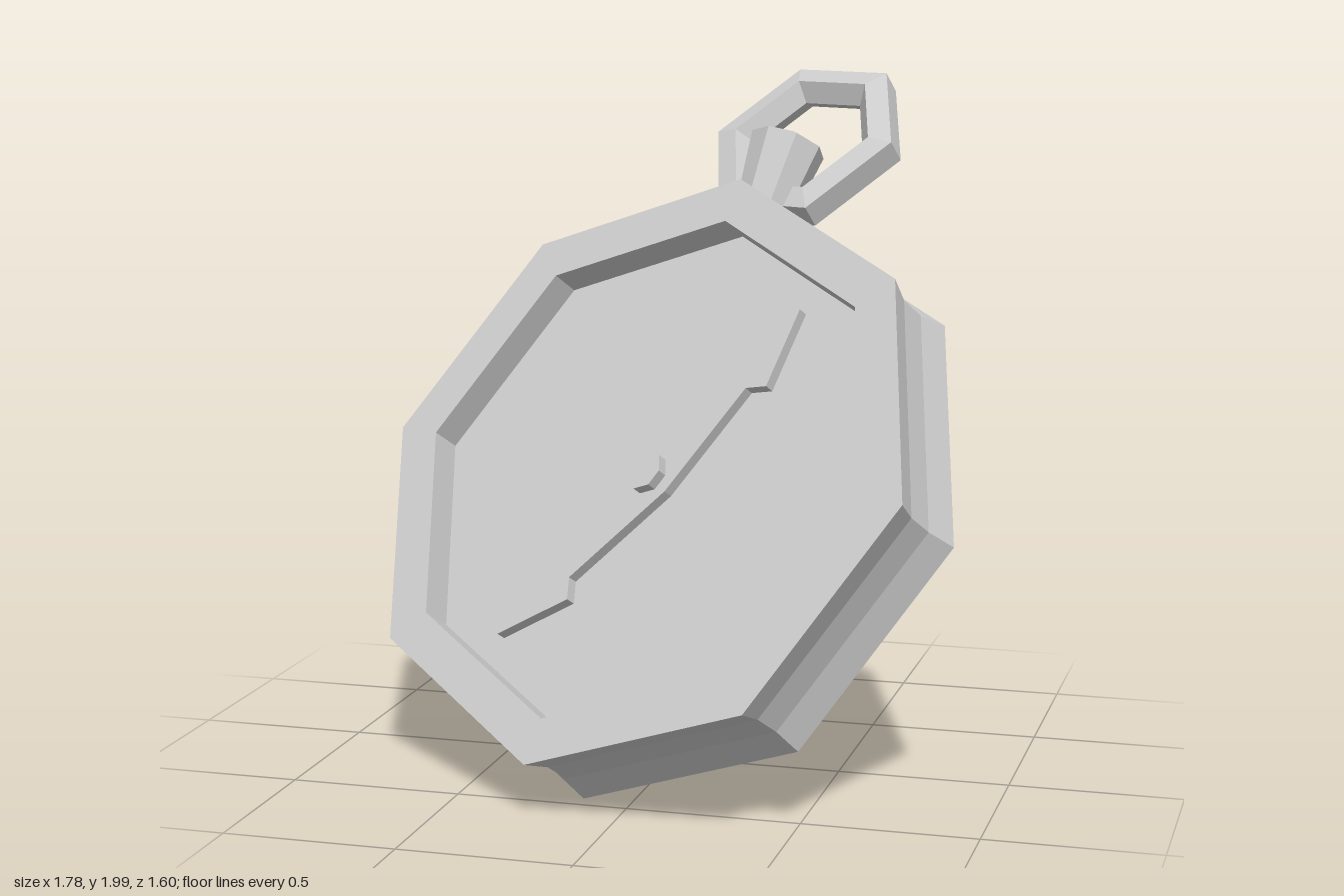
import * as THREE from 'three';

const material = new THREE.MeshStandardMaterial({ color: 0xcccccc, flatShading: true });

// Faceted turned part, with a profile of [radius, height] pairs
function turned(name, profile, sides, phase = 0) {
  const points = profile.map(([r, h]) => new THREE.Vector2(r, h));
  const mesh = new THREE.Mesh(new THREE.LatheGeometry(points, sides, phase), material);
  mesh.name = name;
  return mesh;
}

export function createModel() {
  const model = new THREE.Group();
  model.name = 'compass';

  // Octagonal case: flat back, grooved side, raised rim and sunken dial
  const body = turned('case', [
    [0, -0.3], [0.913, -0.3], [0.886, -0.2], [0.886, -0.1], [0.913, 0],
    [0.776, 0], [0.776, -0.1], [0, -0.1],
  ], 8);
  body.rotation.x = Math.PI / 2;
  model.add(body);

  // Double-headed needle lying on the dial
  const quarter = [[0, 0.637], [0.104, 0.415], [0.053, 0.37], [0.095, 0]];
  const half = [...quarter, ...quarter.slice(1, 3).reverse().map(([x, y]) => [x, -y])];
  const outline = [...half, ...half.map(([x, y]) => [-x, -y])];
  const shape = new THREE.Shape(outline.map(([x, y]) => new THREE.Vector2(x, y)));
  const needle = new THREE.Mesh(
    new THREE.ExtrudeGeometry(shape, { depth: 0.035, bevelEnabled: false }), material);
  needle.name = 'needle';
  needle.position.z = -0.1;
  needle.rotation.z = -Math.PI / 6;
  model.add(needle);

  // Pivot pin
  const pivot = turned('pivot', [[0.065, -0.1], [0.065, -0.03], [0, -0.03]], 8);
  pivot.rotation.x = Math.PI / 2;
  model.add(pivot);

  // Flared stem with a shallow pointed cap
  const stem = turned('stem', [[0, 0.84], [0.08, 0.84], [0.115, 1.11], [0, 1.155]], 8);
  stem.position.z = -0.15;
  model.add(stem);

  // Six-sided hanging ring, tipped backwards
  const ring = turned('ring', [
    [0.32, -0.038], [0.32, 0.038], [0.245, 0.055], [0.2, 0], [0.245, -0.055], [0.32, -0.038],
  ], 6, Math.PI / 2);
  ring.position.set(0, 1.155, -0.24);
  ring.rotation.x = Math.PI / 2 - 0.27;
  model.add(ring);

  // Leaning pose of the whole object
  const right = new THREE.Vector3(0.92, 0, 0.394).normalize();
  const facing = new THREE.Vector3(-0.333, 0.534, 0.777).normalize();
  const up = new THREE.Vector3().crossVectors(facing, right).normalize();
  facing.crossVectors(right, up);
  model.quaternion.setFromRotationMatrix(new THREE.Matrix4().makeBasis(right, up, facing));
  model.position.set(-0.05, 0.94, 0.23);

  const group = new THREE.Group();
  group.add(model);
  return group;
}
